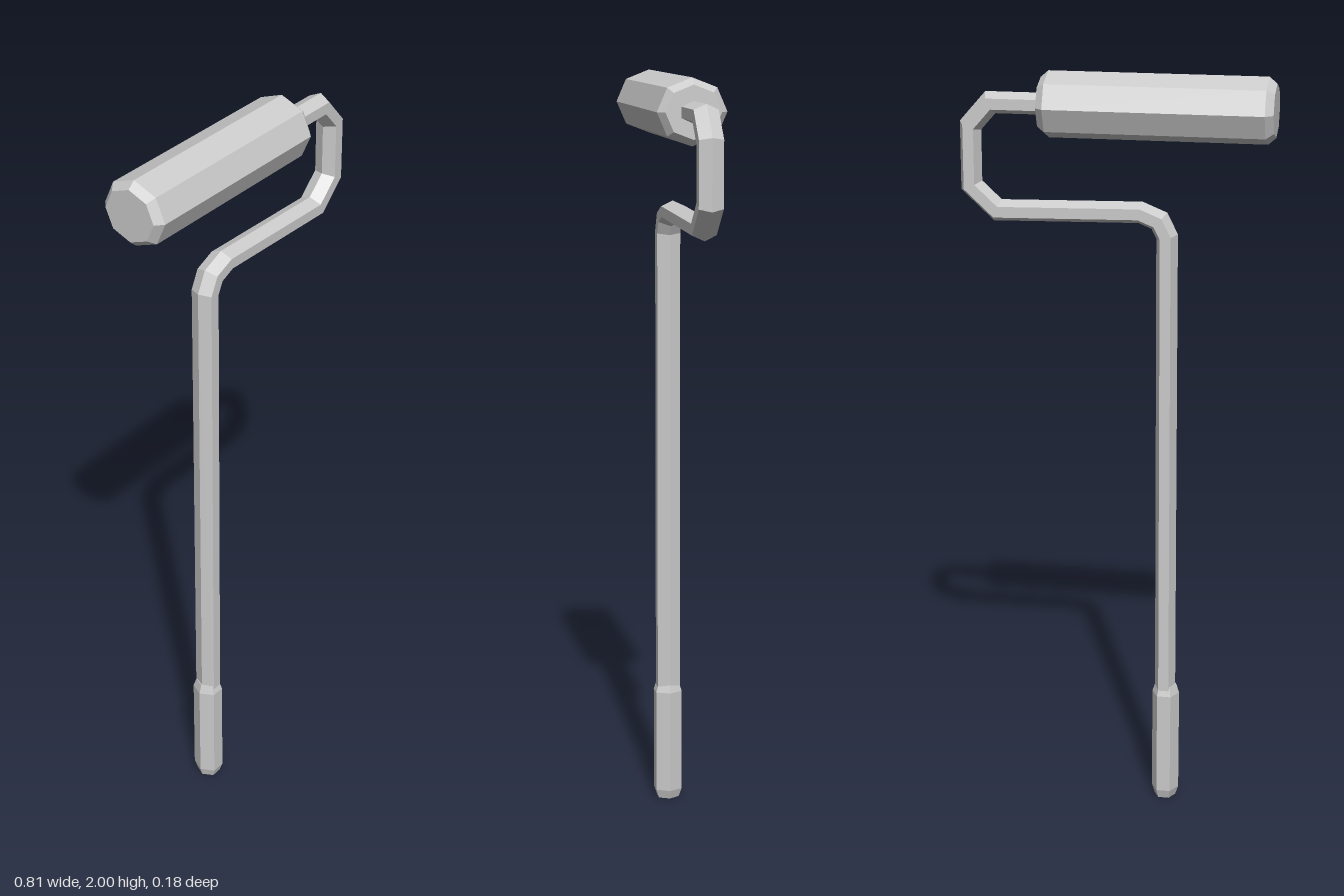
import * as THREE from 'three';

const material = new THREE.MeshStandardMaterial({ color: 0xcccccc, flatShading: true });

function addMesh(group, name, geometry) {
  const mesh = new THREE.Mesh(geometry, material);
  mesh.name = name;
  group.add(mesh);
  return mesh;
}

// Turned solid with a few flat sides; profile is [radius, height] from bottom to top
function turned(profile, sides) {
  const points = profile.map(([r, y]) => new THREE.Vector2(r, y));
  return new THREE.LatheGeometry(points, sides, Math.PI / 2);
}

// Six-sided bar swept along a path in the xy plane, mitred at each corner
function bentBar(path, radius, depth) {
  const sides = 6;
  const pts = path.map(([x, y]) => new THREE.Vector2(x, y));
  const dirs = pts.slice(1).map((p, i) => p.clone().sub(pts[i]).normalize());
  const positions = [];
  const index = [];
  pts.forEach((p, i) => {
    const a = dirs[Math.max(i - 1, 0)];
    const b = dirs[Math.min(i, dirs.length - 1)];
    const t = a.clone().add(b).normalize();
    const r = radius / t.dot(a);
    for (let k = 0; k < sides; k++) {
      const angle = (k / sides) * Math.PI * 2;
      const c = Math.cos(angle) * r;
      positions.push(p.x - t.y * c, p.y + t.x * c, Math.sin(angle) * depth);
    }
  });
  for (let i = 0; i < pts.length - 1; i++) {
    for (let k = 0; k < sides; k++) {
      const a = i * sides + k;
      const b = i * sides + ((k + 1) % sides);
      index.push(a, a + sides, b, b, a + sides, b + sides);
    }
  }
  // End caps
  const last = (pts.length - 1) * sides;
  for (let k = 1; k < sides - 1; k++) {
    index.push(0, k, k + 1, last, last + k + 1, last + k);
  }
  const geometry = new THREE.BufferGeometry();
  geometry.setAttribute('position', new THREE.Float32BufferAttribute(positions, 3));
  geometry.setIndex(index);
  // Make sure the faces look outward whichever way the path runs
  const p = geometry.attributes.position;
  const [v0, v1, v2] = [0, 1, 2].map((n) => new THREE.Vector3().fromBufferAttribute(p, index[n]));
  const normal = v1.sub(v0).cross(v2.sub(v0));
  const centre = new THREE.Vector3(pts[0].x, pts[0].y, 0);
  if (normal.dot(v0.sub(centre)) < 0) geometry.setIndex(index.slice().reverse());
  geometry.computeVertexNormals();
  return geometry;
}

export function createModel() {
  const group = new THREE.Group();
  group.name = 'paintRoller';

  // Grip at the foot of the pole
  const grip = addMesh(group, 'grip', turned(
    [[0, 0], [0.029, 0], [0.037, 0.025], [0.037, 0.31], [0.029, 0.335], [0, 0.335]], 6));
  grip.position.x = -0.142;
  grip.scale.z = 1.12;

  // Pole and bent frame leading into the roller
  addMesh(group, 'frame', bentBar([
    [-0.14, 0.3], [-0.136, 1.585], [-0.116, 1.625], [-0.067, 1.645],
    [0.307, 1.637], [0.375, 1.7], [0.375, 1.855], [0.322, 1.915], [0.15, 1.915],
  ], 0.028, 0.036));

  // Roller sleeve with chamfered ends
  const roller = addMesh(group, 'rollerSleeve', turned(
    [[0, -0.3], [0.072, -0.3], [0.09, -0.28], [0.09, 0.28], [0.072, 0.3], [0, 0.3]], 8));
  roller.rotation.z = -Math.PI / 2;
  roller.scale.x = 0.945;
  roller.position.set(-0.11, 1.915, 0);

  return group;
}
